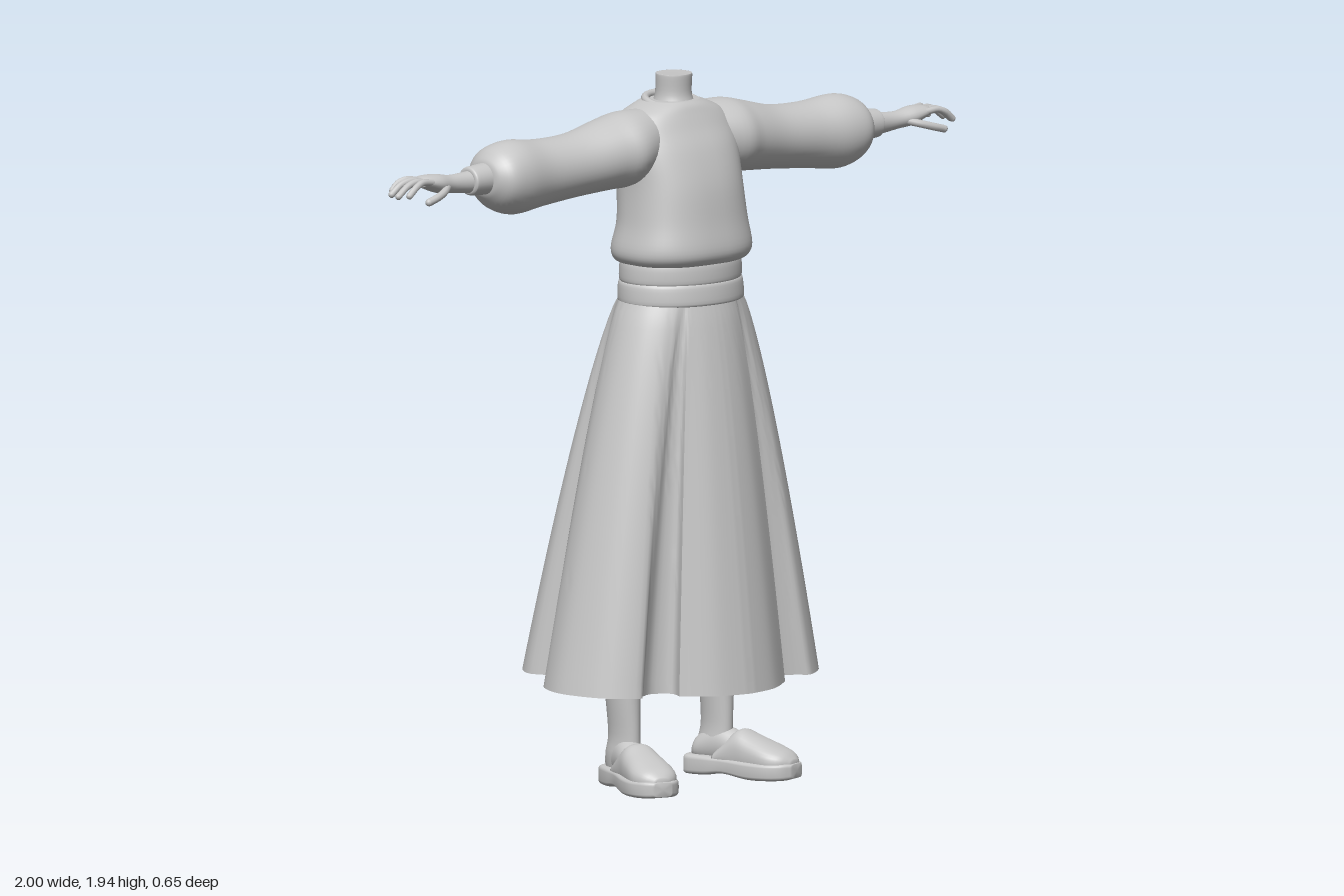
import * as THREE from 'three';
import { mergeGeometries, toCreasedNormals } from 'three/addons/utils/BufferGeometryUtils.js';

const clay = new THREE.MeshStandardMaterial({ color: 0xc6c6c6, side: THREE.DoubleSide });
clay.name = 'light grey';

// Skin a list of closed rings of points
function skin(rings) {
  const n = rings[0].length, pos = [], idx = [];
  rings.forEach(r => r.forEach(p => pos.push(p[0], p[1], p[2])));
  for (let j = 0; j < rings.length - 1; j++) {
    for (let i = 0; i < n; i++) {
      const k = (i + 1) % n, a = j * n, b = a + n;
      idx.push(a + i, b + i, b + k, a + i, b + k, a + k);
    }
  }
  const g = new THREE.BufferGeometry();
  g.setAttribute('position', new THREE.Float32BufferAttribute(pos, 3));
  g.setIndex(idx);
  g.computeVertexNormals();
  return g;
}

// Smooth interpolation through rows of numbers
function smooth(rows, steps) {
  const out = [], at = i => rows[Math.min(Math.max(i, 0), rows.length - 1)];
  for (let i = 0; i < rows.length - 1; i++) {
    for (let s = 0; s < steps; s++) {
      const t = s / steps;
      out.push(rows[i].map((_, c) => {
        const [a, b, d, e] = [at(i - 1)[c], at(i)[c], at(i + 1)[c], at(i + 2)[c]];
        return b + 0.5 * t * (d - a + t * (2 * a - 5 * b + 4 * d - e + t * (3 * (b - d) + e - a)));
      }));
    }
  }
  out.push(rows[rows.length - 1]);
  return out;
}

// Closed loft along an axis; each section is [position, aMin, aMax, bMin, bMax]
// power below 1 makes the cross-section boxier
function loft(axis, sections, { steps = 4, sides = 32, power = 1 } = {}) {
  const place = {
    x: (p, a, b) => [p, a, b],
    y: (p, a, b) => [a, p, b],
    z: (p, a, b) => [a, b, p],
  }[axis];
  const turn = axis === 'y' ? 1 : -1;
  const bend = v => Math.sign(v) * Math.abs(v) ** power;
  const ring = ([p, a0, a1, b0, b1], k) => Array.from({ length: sides }, (_, i) => {
    const t = turn * i / sides * Math.PI * 2;
    return place(p, (a0 + a1) / 2 + k * bend(Math.cos(t)) * (a1 - a0) / 2,
      (b0 + b1) / 2 + k * bend(Math.sin(t)) * (b1 - b0) / 2);
  });
  const rows = smooth(sections, steps);
  return skin([ring(rows[0], 0), ...rows.map(r => ring(r, 1)), ring(rows[rows.length - 1], 0)]);
}

// Mirrored copy across x = 0
function mirror(geo) {
  const g = geo.clone().scale(-1, 1, 1), ix = g.index.array;
  for (let i = 0; i < ix.length; i += 3) [ix[i], ix[i + 1]] = [ix[i + 1], ix[i]];
  return g;
}

// Rounded finger along a bent path
function finger(points, radius) {
  const path = new THREE.CatmullRomCurve3(points.map(p => new THREE.Vector3(...p)));
  const tip = new THREE.SphereGeometry(radius, 10, 8).translate(...points[points.length - 1]);
  return mergeGeometries([new THREE.TubeGeometry(path, 10, radius, 10), tip]);
}

// Pleated skirt: waist ellipse blended to a folded hem
function skirt() {
  // each fold: waist angles, sample count, hem points (x, z), front to back
  const folds = [
    [0, 27, 14, [[0, .325], [.1, .303], [.19, .245]]],
    [27, 34, 12, [[.19, .245], [.178, .2], [.23, .175], [.28, .195]]],
    [34, 110, 22, [[.28, .195], [.31, .215], [.39, .155], [.435, .04], [.415, -.05], [.37, -.1]]],
    [110, 180, 36, [[.37, -.1], [.3, -.11], [.275, -.16], [.31, -.235], [.265, -.31], [.19, -.328],
      [.11, -.29], [.055, -.247], [0, -.24]]],
  ];
  const half = [];
  folds.forEach(([a0, a1, n, pts]) => {
    const curve = new THREE.SplineCurve(pts.map(p => new THREE.Vector2(...p)));
    for (let i = 0; i < n; i++) {
      const t = i / n, a = THREE.MathUtils.degToRad(a0 + (a1 - a0) * t), h = curve.getPoint(t);
      half.push([Math.sin(a) * .178, .032 + Math.cos(a) * .143, h.x, h.y]);
    }
  });
  const back = [0, -.111, 0, -.24];
  const flipped = half.slice(1).reverse().map(([x, z, hx, hz]) => [-x, z, -hx, hz]);
  const outline = [...half, back, ...flipped];
  const rings = Array.from({ length: 29 }, (_, j) => {
    const t = j / 28, s = t ** .76;
    return outline.map(([x, z, hx, hz]) => [
      x + (hx - x) * s,
      1.345 - t * (1.053 + .012 * Math.cos(Math.atan2(hx, hz))),
      z + (hz - z) * s,
    ]);
  });
  return toCreasedNormals(skin(rings), .7);
}

export function createModel() {
  const model = new THREE.Group();
  model.name = 'clothedFigure';
  const add = (name, geo) => {
    const m = new THREE.Mesh(geo, clay);
    m.name = name;
    model.add(m);
  };
  const pair = (name, geo) => {
    add('left' + name, geo);
    add('right' + name, mirror(geo));
  };

  add('skirt', skirt());

  // Two-layer waistband
  add('lowerBelt', loft('y', [[1.325, -.178, .178, -.108, .176], [1.333, -.186, .186, -.115, .184],
    [1.375, -.184, .184, -.114, .18], [1.386, -.177, .177, -.108, .174]], { sides: 48 }));
  add('upperBelt', loft('y', [[1.38, -.174, .174, -.105, .17], [1.39, -.181, .181, -.112, .177],
    [1.43, -.18, .18, -.11, .176], [1.45, -.172, .172, -.104, .168]], { sides: 48 }));

  // Loose blouse gathered above the belt
  add('blouse', loft('y', [
    [1.432, -.165, .165, -.1, .16], [1.443, -.188, .188, -.116, .184], [1.475, -.198, .198, -.122, .197],
    [1.55, -.184, .184, -.107, .186], [1.65, -.178, .178, -.114, .17], [1.74, -.184, .184, -.119, .14],
    [1.8, -.182, .182, -.117, .108], [1.835, -.155, .155, -.104, .09], [1.857, -.11, .11, -.09, .078],
    [1.87, -.075, .075, -.078, .065],
  ], { steps: 5, sides: 56, power: .85 }));

  // Neck and tilted neckline
  add('neck', loft('y', [[1.82, -.075, .075, -.07, .075], [1.85, -.062, .062, -.058, .066],
    [1.885, -.05, .05, -.046, .054], [1.935, -.05, .05, -.044, .056], [1.94, -.048, .048, -.042, .054]]));
  add('collar', new THREE.TorusGeometry(.073, .011, 10, 48)
    .rotateX(Math.PI / 2 + .18).translate(0, 1.862, -.002));

  // Full sleeves, cuffs and hands
  pair('Sleeve', loft('x', [
    [.09, 1.68, 1.852, -.085, .08], [.18, 1.65, 1.853, -.113, .115], [.25, 1.645, 1.838, -.11, .103],
    [.36, 1.637, 1.812, -.1, .085], [.48, 1.625, 1.808, -.1, .082], [.58, 1.615, 1.818, -.101, .095],
    [.64, 1.633, 1.805, -.098, .09], [.672, 1.668, 1.778, -.066, .06], [.68, 1.69, 1.757, -.035, .033],
  ], { steps: 5, sides: 40 }));
  pair('Cuff', loft('x', [[.65, 1.678, 1.768, -.046, .042], [.72, 1.682, 1.762, -.043, .04],
    [.732, 1.685, 1.759, -.04, .037], [.735, 1.692, 1.752, -.032, .03]]));
  pair('Hand', loft('x', [
    [.71, 1.688, 1.752, -.033, .031], [.76, 1.692, 1.748, -.027, .025], [.805, 1.698, 1.747, -.027, .027],
    [.85, 1.703, 1.755, -.036, .037], [.89, 1.718, 1.755, -.04, .036], [.91, 1.725, 1.75, -.036, .03],
  ], { sides: 24 }));
  const tips = [[-.031, -.05, .962, 1.715], [-.012, -.021, .99, 1.711], [.008, .008, .991, 1.709], [.027, .035, .975, 1.712]];
  pair('Fingers', mergeGeometries(tips.map(([z0, z1, x, y]) =>
    finger([[.885, 1.738, z0], [.925, 1.742, (z0 + z1) / 2], [(.925 + x) / 2, 1.733, z1], [x, y, z1]], .0092))));
  pair('Thumb', finger([[.825, 1.72, .02], [.86, 1.71, .045], [.895, 1.7, .056], [.925, 1.692, .058]], .0105));

  // Legs and slip-on clogs turned outward
  pair('Leg', loft('y', [
    [.04, .135, .195, -.07, .03], [.09, .128, .203, -.072, .045], [.15, .134, .199, -.062, .047],
    [.28, .126, .21, -.07, .045], [.45, .11, .215, -.085, .045], [.75, .07, .2, -.07, .07],
  ], { sides: 28 }));
  const shoe = g => g.rotateY(.3).translate(.167, 0, 0);
  pair('Foot', shoe(loft('z', [[-.075, -.02, .02, .045, .08], [-.055, -.038, .038, .035, .11],
    [0, -.04, .04, .03, .14], [.06, -.045, .045, .03, .125], [.13, -.05, .05, .03, .09]])));
  pair('Sole', shoe(loft('z', [
    [-.095, -.025, .025, .004, .05], [-.08, -.046, .046, 0, .056], [-.02, -.054, .054, .002, .057],
    [.04, -.056, .056, .01, .055], [.12, -.07, .07, .002, .054], [.18, -.072, .072, .003, .054],
    [.225, -.054, .054, .006, .054], [.248, -.025, .025, .012, .05],
  ], { power: .4 })));
  pair('ShoeUpper', shoe(loft('z', [
    [.005, -.05, .05, .03, .068], [.035, -.052, .052, .02, .1], [.075, -.054, .054, .005, .132],
    [.12, -.06, .06, .005, .118], [.18, -.065, .065, .01, .096], [.22, -.05, .05, .02, .08],
    [.242, -.02, .02, .035, .06],
  ], { power: .85 })));

  return model;
}
